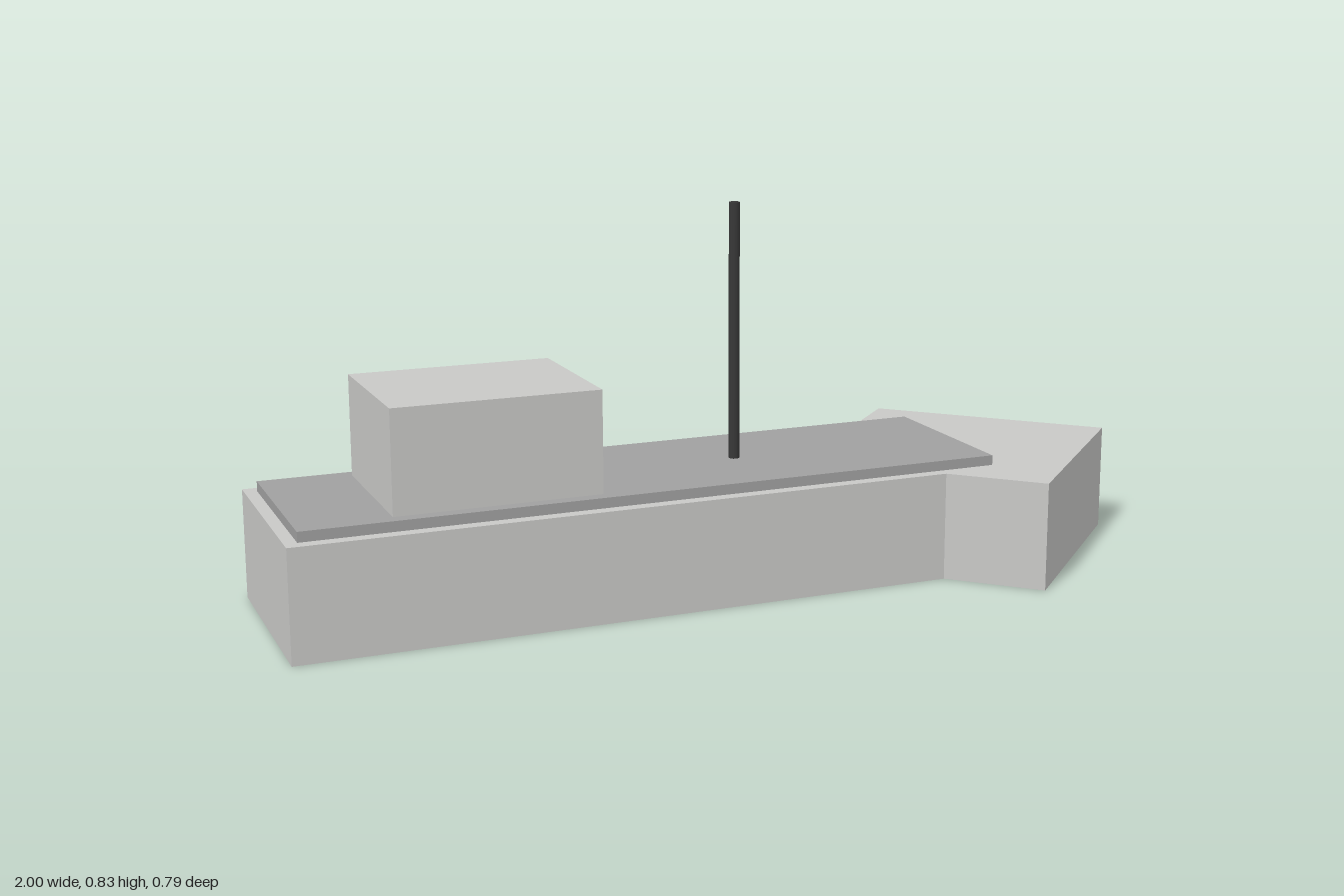
import * as THREE from 'three';

const lightGrey = new THREE.MeshStandardMaterial({ name: 'light grey', color: 0xc8c8c6 });
const deckGrey = new THREE.MeshStandardMaterial({ name: 'deck grey', color: 0xa0a0a0 });
const mastGrey = new THREE.MeshStandardMaterial({ name: 'dark grey', color: 0x383838 });

const HULL_TOP = 0.24;
const DECK_TOP = 0.262;

// Box given by its x range, y range and full depth, centred on z = 0
function block(name, x0, x1, y0, y1, depth, material) {
  const mesh = new THREE.Mesh(new THREE.BoxGeometry(x1 - x0, y1 - y0, depth), material);
  mesh.position.set((x0 + x1) / 2, (y0 + y1) / 2, 0);
  mesh.name = name;
  return mesh;
}

// Straight hull flowing into a wide diamond bow, extruded upwards
function createHull() {
  const side = 0.235, bow = 0.396, bowX = 1 - bow;
  const neckX = bowX - bow + side;
  const outline = new THREE.Shape([
    [-1, -side], [neckX, -side], [bowX, -bow], [1, 0],
    [bowX, bow], [neckX, side], [-1, side],
  ].map(([x, y]) => new THREE.Vector2(x, y)));
  const geometry = new THREE.ExtrudeGeometry(outline, { depth: HULL_TOP, bevelEnabled: false });
  geometry.rotateX(-Math.PI / 2);
  const hull = new THREE.Mesh(geometry, lightGrey);
  hull.name = 'hull';
  return hull;
}

export function createModel() {
  const ship = new THREE.Group();
  ship.name = 'ship';

  ship.add(createHull());
  ship.add(block('deck', -0.973, 0.575, HULL_TOP, DECK_TOP, 0.414, deckGrey));
  ship.add(block('cabin', -0.776, -0.332, DECK_TOP, 0.483, 0.354, lightGrey));

  // Mast standing on the deck
  const mastHeight = 0.83 - DECK_TOP;
  const mast = new THREE.Mesh(new THREE.CylinderGeometry(0.012, 0.012, mastHeight, 12), mastGrey);
  mast.position.set(0.038, DECK_TOP + mastHeight / 2, 0);
  mast.name = 'mast';
  ship.add(mast);

  return ship;
}
